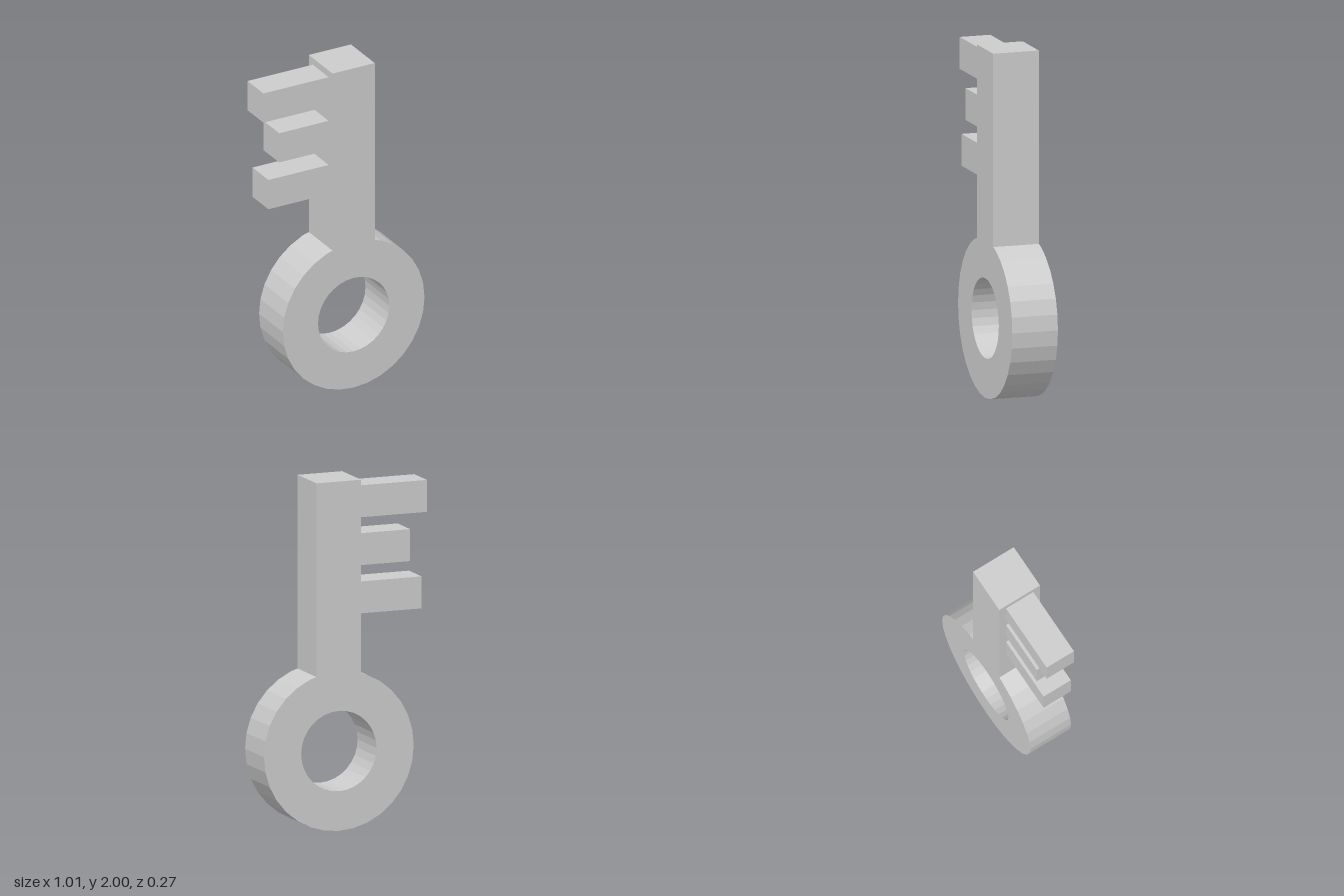
import * as THREE from 'three';

const CX = 0.05, CY = 0.457, OUTER = 0.457, INNER = 0.23, SIDES = 32;
const HALF = 0.136; // half the width and depth of the shaft

export function createModel() {
  const group = new THREE.Group();
  group.name = 'key';
  const material = new THREE.MeshStandardMaterial({ color: 0xcccccc, flatShading: true });

  const onCircle = (radius, i) => {
    const a = Math.PI / 2 + (i / SIDES) * Math.PI * 2;
    return new THREE.Vector2(CX + radius * Math.cos(a), CY + radius * Math.sin(a));
  };

  // Outline: shaft sides and top, then round the ring bow
  const neckY = CY + 0.434;
  const outline = [
    new THREE.Vector2(CX + HALF, neckY),
    new THREE.Vector2(CX + HALF, 2),
    new THREE.Vector2(CX - HALF, 2),
    new THREE.Vector2(CX - HALF, neckY),
  ];
  for (let i = 2; i <= SIDES - 2; i++) outline.push(onCircle(OUTER, i));
  const shape = new THREE.Shape(outline);

  // Finger hole through the bow
  const hole = [];
  for (let i = 0; i < SIDES; i++) hole.push(onCircle(INNER, i));
  shape.holes.push(new THREE.Path(hole));

  const bodyGeometry = new THREE.ExtrudeGeometry(shape, { depth: HALF * 2, bevelEnabled: false });
  bodyGeometry.translate(0, 0, -HALF);
  const body = new THREE.Mesh(bodyGeometry, material);
  body.name = 'bowAndShaft';
  group.add(body);

  // Teeth: outer end x and centre height
  const teeth = [['upperTooth', -0.507, 1.867], ['middleTooth', -0.405, 1.593], ['lowerTooth', -0.475, 1.317]];
  const root = CX - HALF;
  for (const [name, tip, y] of teeth) {
    const tooth = new THREE.Mesh(new THREE.BoxGeometry(root - tip, 0.183, 0.182), material);
    tooth.position.set((root + tip) / 2, y, 0);
    tooth.name = name;
    group.add(tooth);
  }
  return group;
}
